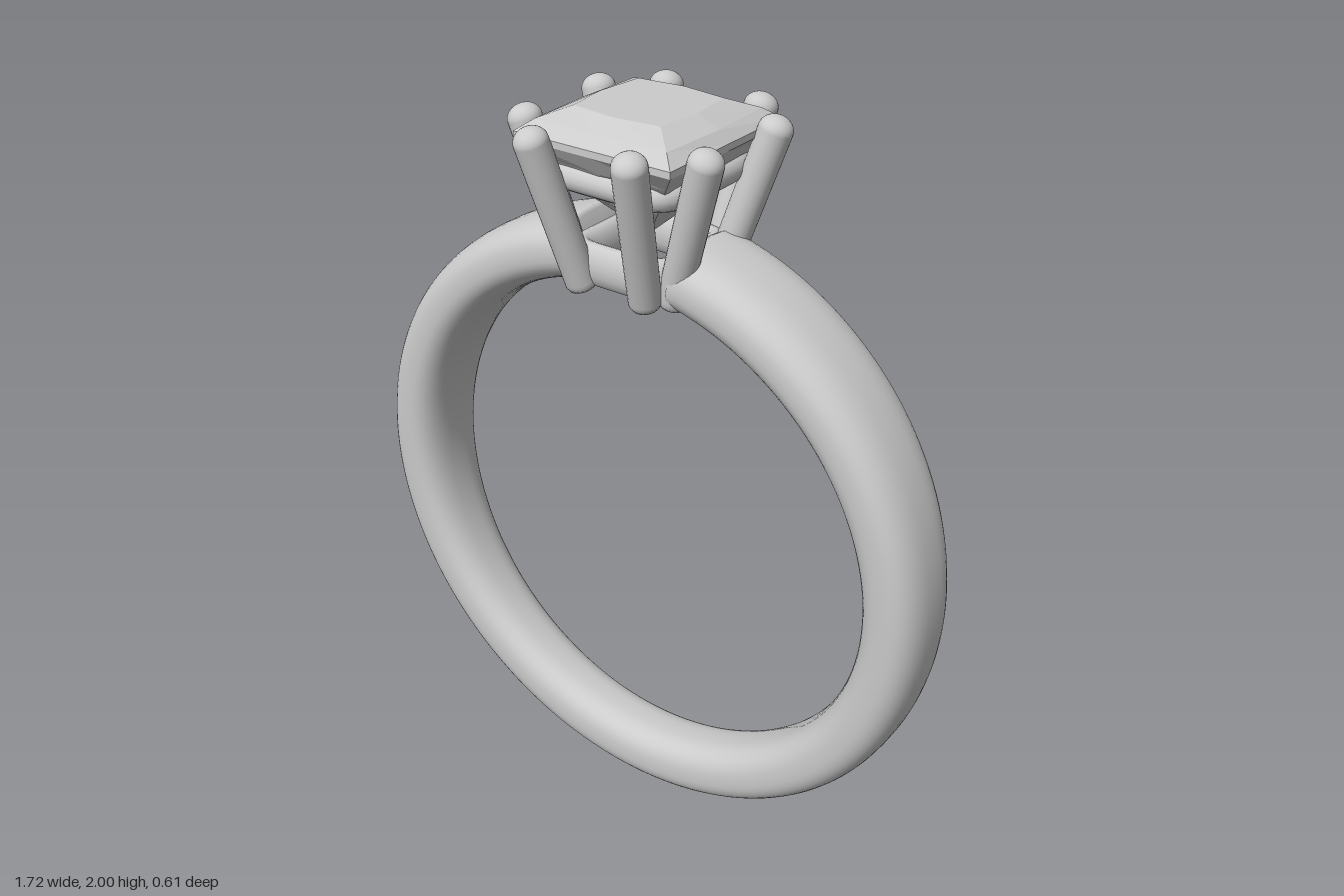
import * as THREE from 'three';

const metal = new THREE.MeshStandardMaterial({ color: 0xcccccc });
const stone = new THREE.MeshStandardMaterial({ color: 0xcccccc, flatShading: true });

// Joins equal-length closed loops of points with quads
function skin(loops) {
  const n = loops[0].length, index = [];
  for (let i = 0; i < loops.length - 1; i++) {
    for (let j = 0; j < n; j++) {
      const a = i * n + j, b = i * n + (j + 1) % n;
      index.push(a, b, a + n, b, b + n, a + n);
    }
  }
  const g = new THREE.BufferGeometry();
  g.setAttribute('position', new THREE.Float32BufferAttribute(loops.flat(2), 3));
  g.setIndex(index);
  g.computeVertexNormals();
  return g;
}

const power = (v, e) => Math.sign(v) * Math.abs(v) ** e;

// Band: rounded section swept round the finger, wider toward the top, open under the stone
function bandGeometry() {
  const centre = 0.86, radius = 0.776, half = 0.084, gap = 0.19, steps = 160, sides = 40;
  const ring = (a, scale) => Array.from({ length: sides }, (_, j) => {
    const t = j / sides * Math.PI * 2;
    const r = radius + half * scale * power(Math.cos(t), 0.8);
    const y = centre + radius * Math.cos(a);
    const width = 0.087 + 0.036 * y;
    return [r * Math.sin(a), centre + r * Math.cos(a), width * scale * power(Math.sin(t), 0.75)];
  });
  const loops = [ring(gap, 0), ring(gap, 0.9)];
  for (let i = 0; i <= steps; i++) {
    loops.push(ring(gap + 0.015 + (2 * Math.PI - 2 * gap - 0.03) * i / steps, 1));
  }
  loops.push(ring(-gap, 0.9), ring(-gap, 0));
  return skin(loops);
}

// Stone: each loop is a square with bowed sides [corner reach, side reach, height]
function stoneGeometry() {
  const levels = [
    [0, 0, 2], [0.125, 0.14, 2], [0.19, 0.198, 1.972], [0.226, 0.226, 1.945], [0.226, 0.226, 1.928],
    [0.185, 0.195, 1.88], [0.1, 0.125, 1.775], [0, 0, 1.67],
  ];
  const grid = [[1, 0], [1, 1], [0, 1], [-1, 1], [-1, 0], [-1, -1], [0, -1], [1, -1]];
  return skin(levels.map(([corner, side, y]) => grid.map(([x, z]) => {
    const s = x && z ? corner : side;
    return [x * s, y, z * s];
  })));
}

// Rounded square path for the rails of the setting
class SquareCurve extends THREE.Curve {
  constructor(half) {
    super();
    this.half = half;
  }
  getPoint(t, target = new THREE.Vector3()) {
    const a = t * Math.PI * 2;
    return target.set(this.half * power(Math.cos(a), 0.35), 0, this.half * power(Math.sin(a), 0.35));
  }
}

function rail(name, half, radius, y, stretch) {
  const mesh = new THREE.Mesh(new THREE.TubeGeometry(new SquareCurve(half), 120, radius, 16, true), metal);
  mesh.name = name;
  mesh.position.y = y;
  mesh.scale.y = stretch;
  return mesh;
}

// Claw: slim rod with a domed tip, standing between two points
function claw(from, to) {
  const length = from.distanceTo(to), r = 0.043;
  const profile = [[0, 0], [r * 0.85, 0], [r * 0.95, 0.01], [r * 0.95, 0.02]];
  for (let i = 0; i <= 8; i++) {
    const a = i / 8 * Math.PI / 2;
    profile.push([r * Math.cos(a), length - 0.035 + 0.035 * Math.sin(a)]);
  }
  const points = profile.map(([x, y]) => new THREE.Vector2(Math.max(x, 0), y));
  const mesh = new THREE.Mesh(new THREE.LatheGeometry(points, 24), metal);
  mesh.name = 'claw';
  mesh.position.copy(from);
  mesh.quaternion.setFromUnitVectors(new THREE.Vector3(0, 1, 0), to.clone().sub(from).normalize());
  return mesh;
}

export function createModel() {
  const model = new THREE.Group();
  model.name = 'ring';

  const band = new THREE.Mesh(bandGeometry(), metal);
  band.name = 'band';
  const gem = new THREE.Mesh(stoneGeometry(), stone);
  gem.name = 'squareCutStone';
  model.add(band, gem);

  // Setting: base collar, upper rail and a pair of claws on each side
  const setting = new THREE.Group();
  setting.name = 'setting';
  setting.add(rail('baseCollar', 0.13, 0.03, 1.618, 1.85));
  setting.add(rail('upperRail', 0.168, 0.036, 1.846, 1));
  for (const sx of [-1, 1]) {
    for (const sz of [-1, 1]) {
      setting.add(
        claw(new THREE.Vector3(sx * 0.095, 1.56, sz * 0.142), new THREE.Vector3(sx * 0.145, 1.98, sz * 0.272)),
        claw(new THREE.Vector3(sx * 0.142, 1.56, sz * 0.095), new THREE.Vector3(sx * 0.272, 1.98, sz * 0.145)),
      );
    }
  }
  model.add(setting);
  return model;
}
